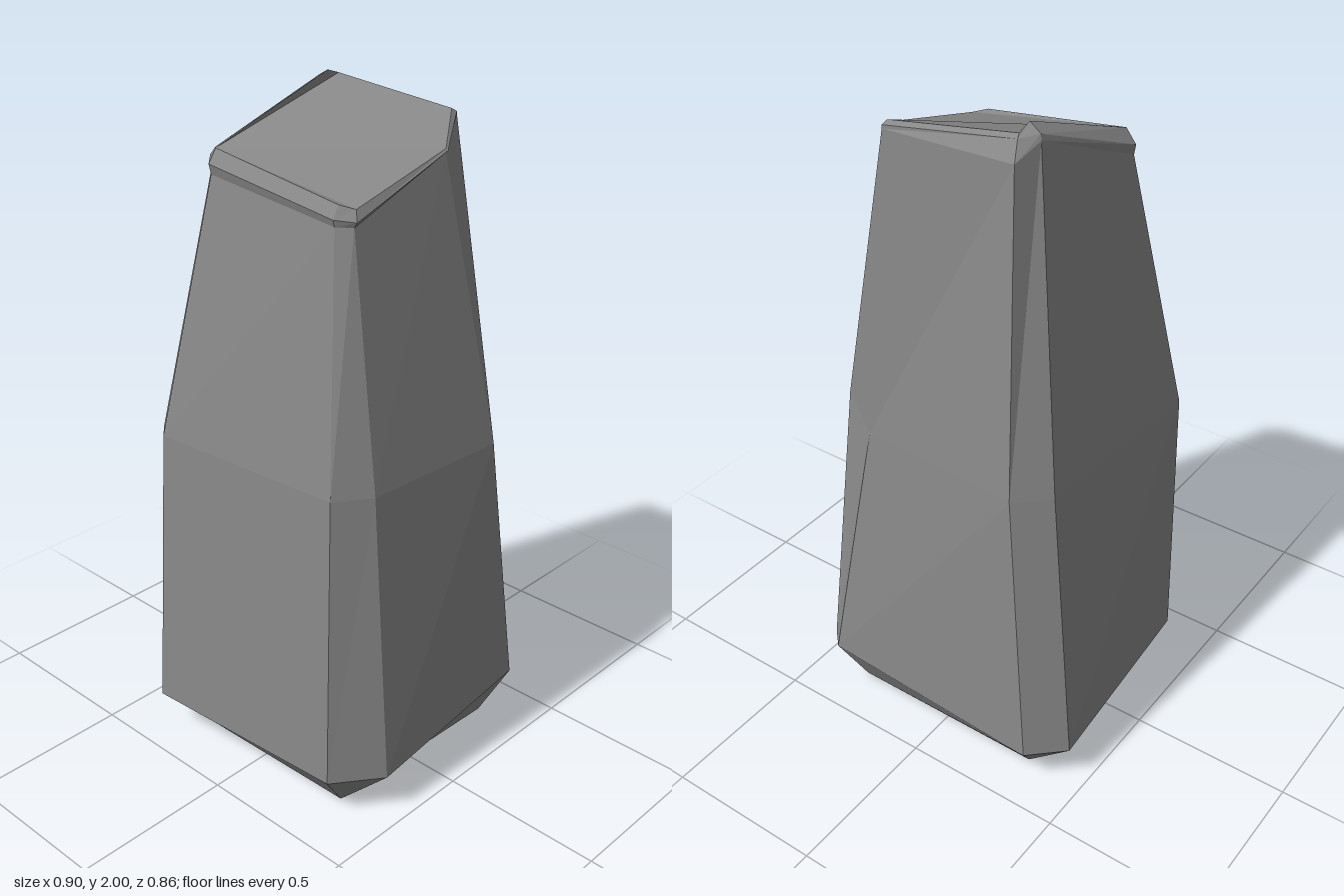
import * as THREE from 'three';

// Each ring lists eight points: front pair, +x pair, back pair, -x pair.
const corners = [[-0.31, 0, 0.3], [0.31, 0, 0.29], [0.33, 0, -0.335], [-0.31, 0, -0.335]];
const base = [0, 1, 1, 2, 2, 3, 3, 0].map((i) => corners[i]);
const foot = [
  [-0.33, 0.13, 0.425], [0.345, 0.13, 0.385], [0.45, 0.13, 0.245], [0.415, 0.17, -0.375],
  [0.365, 0.17, -0.425], [-0.355, 0.13, -0.43], [-0.455, 0.13, -0.335], [-0.405, 0.13, 0.32],
];
const waist = [
  [-0.31, 1.02, 0.38], [0.315, 1.02, 0.34], [0.385, 1.02, 0.24], [0.41, 1.02, -0.235],
  [0.245, 1.0, -0.345], [-0.265, 1.0, -0.375], [-0.355, 1.0, -0.29], [-0.39, 1.0, 0.31],
];
const shoulder = [
  [-0.22, 1.78, 0.24], [0.235, 1.735, 0.24], [0.275, 1.735, 0.21], [0.28, 1.86, -0.135],
  [0.2, 1.92, -0.275], [-0.2, 1.925, -0.262], [-0.225, 1.965, -0.185], [-0.255, 1.79, 0.205],
];
const lip = [
  [-0.22, 1.81, 0.248], [0.235, 1.755, 0.246], [0.285, 1.75, 0.21], [0.285, 1.865, -0.138],
  [0.2, 1.93, -0.274], [-0.185, 1.975, -0.228], [-0.22, 1.98, -0.18], [-0.26, 1.82, 0.205],
];
const crown = [
  [-0.215, 1.85, 0.225], [0.235, 1.79, 0.225], [0.272, 1.78, 0.2], [0.28, 1.87, -0.135],
  [0.195, 1.94, -0.258], [-0.18, 1.985, -0.215], [-0.18, 2.0, -0.17], [-0.22, 1.852, 0.22],
];

// Walls between successive rings, unshared corners for crisp facets
function loft(rings, closeBottom, closeTop) {
  const points = [];
  const tri = (a, b, c) => points.push(...a, ...b, ...c);
  for (let r = 0; r < rings.length - 1; r++) {
    const low = rings[r], high = rings[r + 1];
    for (let i = 0; i < 8; i++) {
      const j = (i + 1) % 8;
      if (low[i] !== low[j]) tri(low[i], low[j], high[j]);
      tri(low[i], high[j], high[i]);
    }
  }
  if (closeBottom) {
    tri(corners[0], corners[2], corners[1]);
    tri(corners[0], corners[3], corners[2]);
  }
  if (closeTop) {
    const top = rings[rings.length - 1];
    for (let i = 1; i < 7; i++) tri(top[0], top[i], top[i + 1]);
  }
  const geometry = new THREE.BufferGeometry();
  geometry.setAttribute('position', new THREE.Float32BufferAttribute(points, 3));
  geometry.computeVertexNormals();
  return geometry;
}

export function createModel() {
  const stone = new THREE.MeshStandardMaterial({ color: 0x888888 });
  stone.name = 'greyStone';
  const group = new THREE.Group();
  group.name = 'standingStone';

  // Tapered body with bevelled foot
  const body = new THREE.Mesh(loft([base, foot, waist, shoulder], true, false), stone);
  body.name = 'stoneBody';

  // Sloping bevelled cap
  const cap = new THREE.Mesh(loft([shoulder, lip, crown], false, true), stone);
  cap.name = 'stoneCap';

  group.add(body, cap);
  return group;
}
